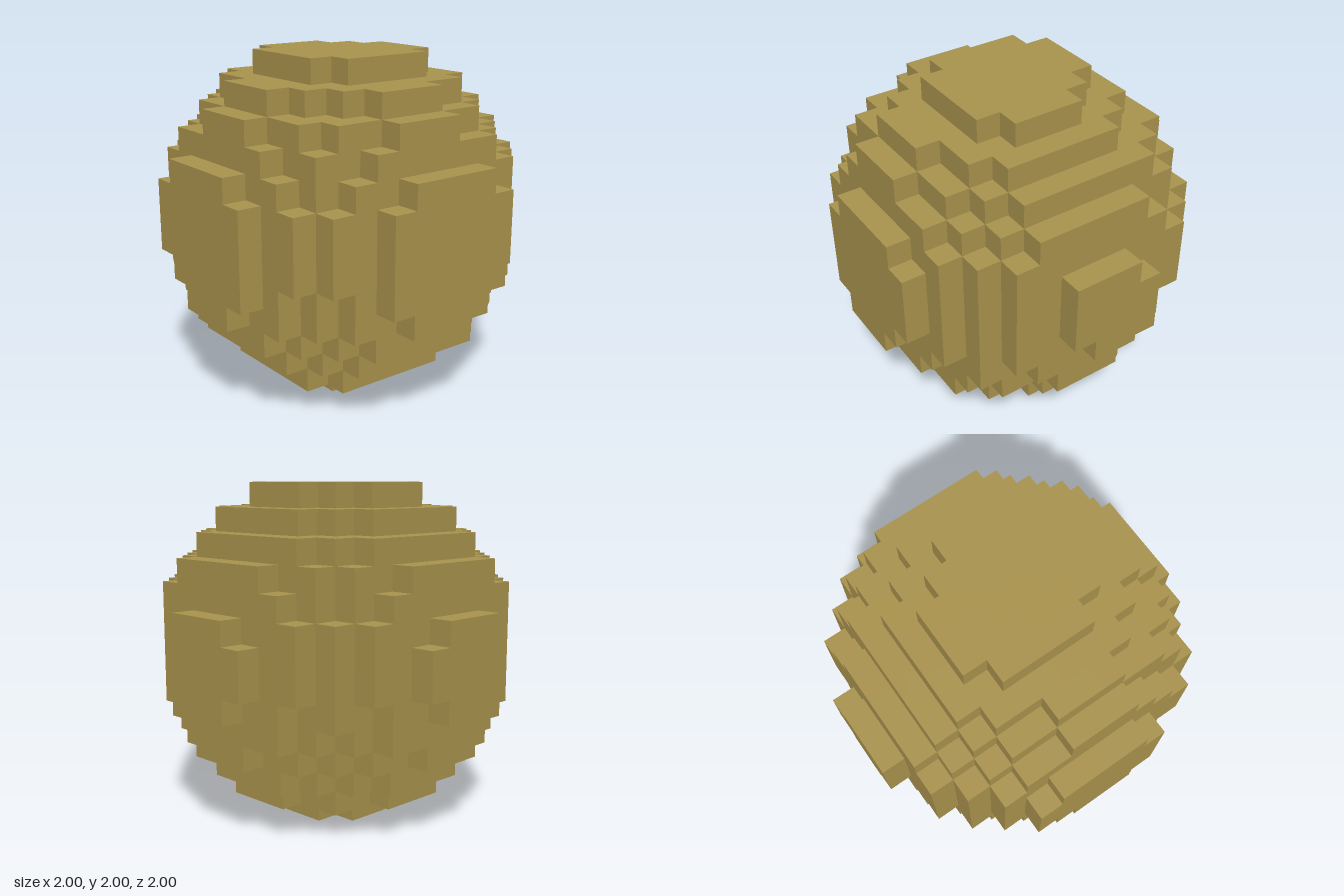
import * as THREE from 'three';
import { mergeGeometries } from 'three/addons/utils/BufferGeometryUtils.js';

const N = 14;          // cells per side
const CELL = 2 / N;    // cell size
const CENTRE = 6.7;    // ball centre in cell indices, slightly off the grid middle
const RADIUS = 7;      // ball radius in cells

// A cell is solid when its centre lies inside the ball
function solid(i, j, k) {
  if ([i, j, k].some((n) => n < 0 || n >= N)) return false;
  return (i - CENTRE) ** 2 + (j - CENTRE) ** 2 + (k - CENTRE) ** 2 <= RADIUS ** 2;
}

// One outward square for each of the six directions
function makeSides() {
  const side = (dir, rx, ry) => {
    const geometry = new THREE.PlaneGeometry(CELL, CELL).rotateX(rx).rotateY(ry);
    geometry.translate(...dir.map((d) => d * CELL / 2));
    return { dir, geometry };
  };
  const q = Math.PI / 2;
  return [
    side([0, 0, 1], 0, 0), side([0, 0, -1], 0, 2 * q),
    side([1, 0, 0], 0, q), side([-1, 0, 0], 0, -q),
    side([0, 1, 0], -q, 0), side([0, -1, 0], q, 0),
  ];
}

export function createModel() {
  const group = new THREE.Group();
  group.name = 'blockBall';

  const material = new THREE.MeshStandardMaterial({ color: 0xa8924d });
  material.name = 'ochre';

  // Stepped shell: only the exposed faces of the solid cells
  const sides = makeSides();
  const faces = [];
  const at = (n) => (n + 0.5) * CELL;
  for (let i = 0; i < N; i++) {
    for (let j = 0; j < N; j++) {
      for (let k = 0; k < N; k++) {
        if (!solid(i, j, k)) continue;
        for (const { dir, geometry } of sides) {
          if (solid(i + dir[0], j + dir[1], k + dir[2])) continue;
          faces.push(geometry.clone().translate(at(i) - 1, at(j), at(k) - 1));
        }
      }
    }
  }

  const shell = new THREE.Mesh(mergeGeometries(faces), material);
  shell.name = 'steppedShell';
  group.add(shell);
  return group;
}
